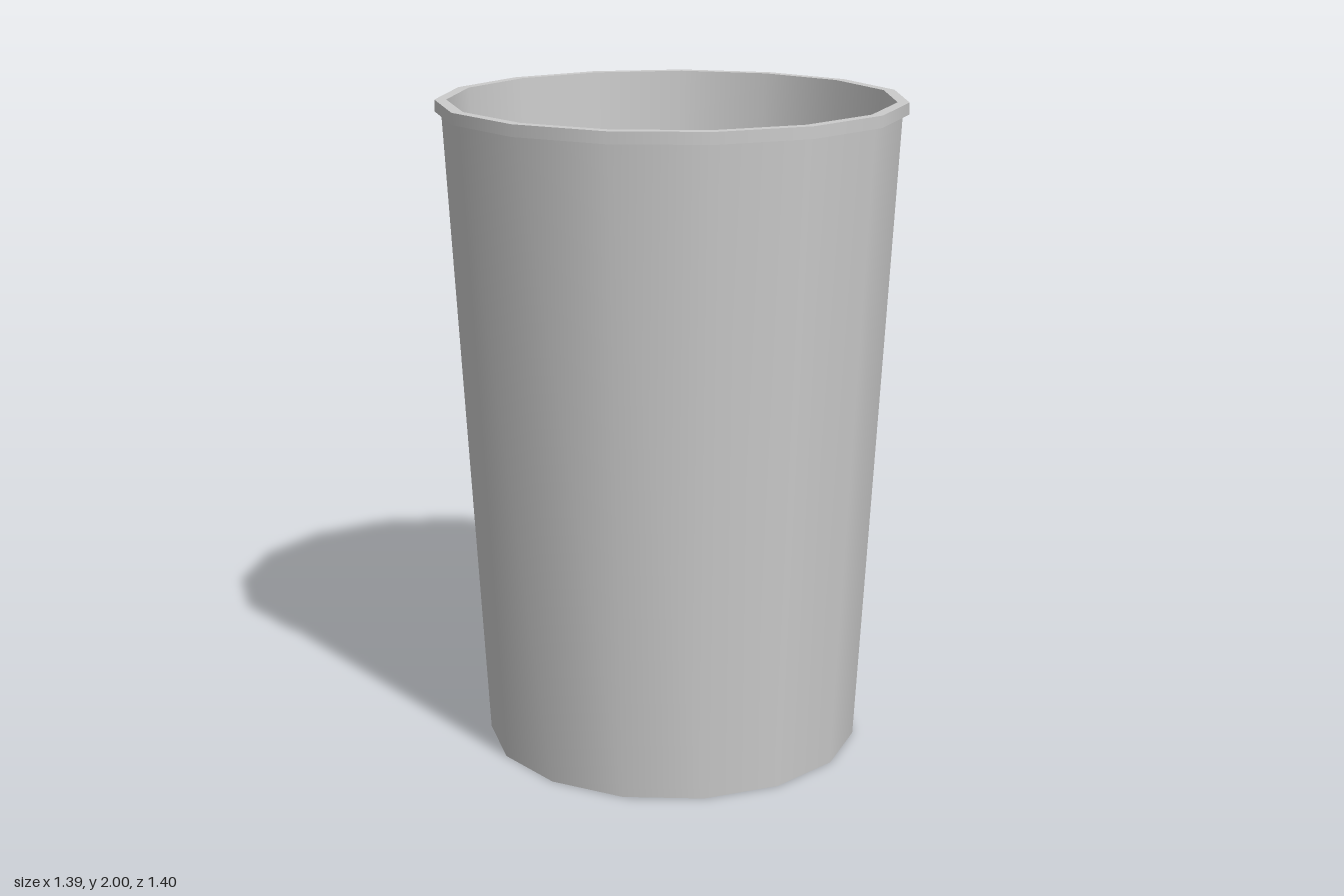
import * as THREE from 'three';
import { mergeGeometries } from 'three/addons/utils/BufferGeometryUtils.js';

const SIDES = 15;

// Revolves each straight stretch of a profile on its own: smooth around, sharp between stretches.
function revolve(name, profile) {
  const strips = [];
  for (let i = 0; i + 1 < profile.length; i++) {
    const ends = [profile[i], profile[i + 1]].map(([r, y]) => new THREE.Vector2(r, y));
    strips.push(new THREE.LatheGeometry(ends, SIDES, Math.PI / 2));
  }
  const material = new THREE.MeshStandardMaterial({ color: 0xcccccc });
  const mesh = new THREE.Mesh(mergeGeometries(strips), material);
  mesh.name = name;
  return mesh;
}

export function createModel() {
  const group = new THREE.Group();
  group.name = 'cup';

  // Underside, tapered outer wall, rim band, inner wall, inner base
  group.add(revolve('cupBody', [
    [0, 0], [0.578, 0],
    [0.684, 1.965], [0.703, 1.965],
    [0.703, 2], [0.668, 2],
    [0.563, 0.03], [0, 0.03],
  ]));

  // Level surface of the contents, part way up the inner wall
  group.add(revolve('fillSurface', [[0.608, 0.88], [0, 0.88]]));

  // An odd number of sides sits slightly off-centre in x
  group.children.forEach((part) => { part.position.x = -0.0077; });
  return group;
}
